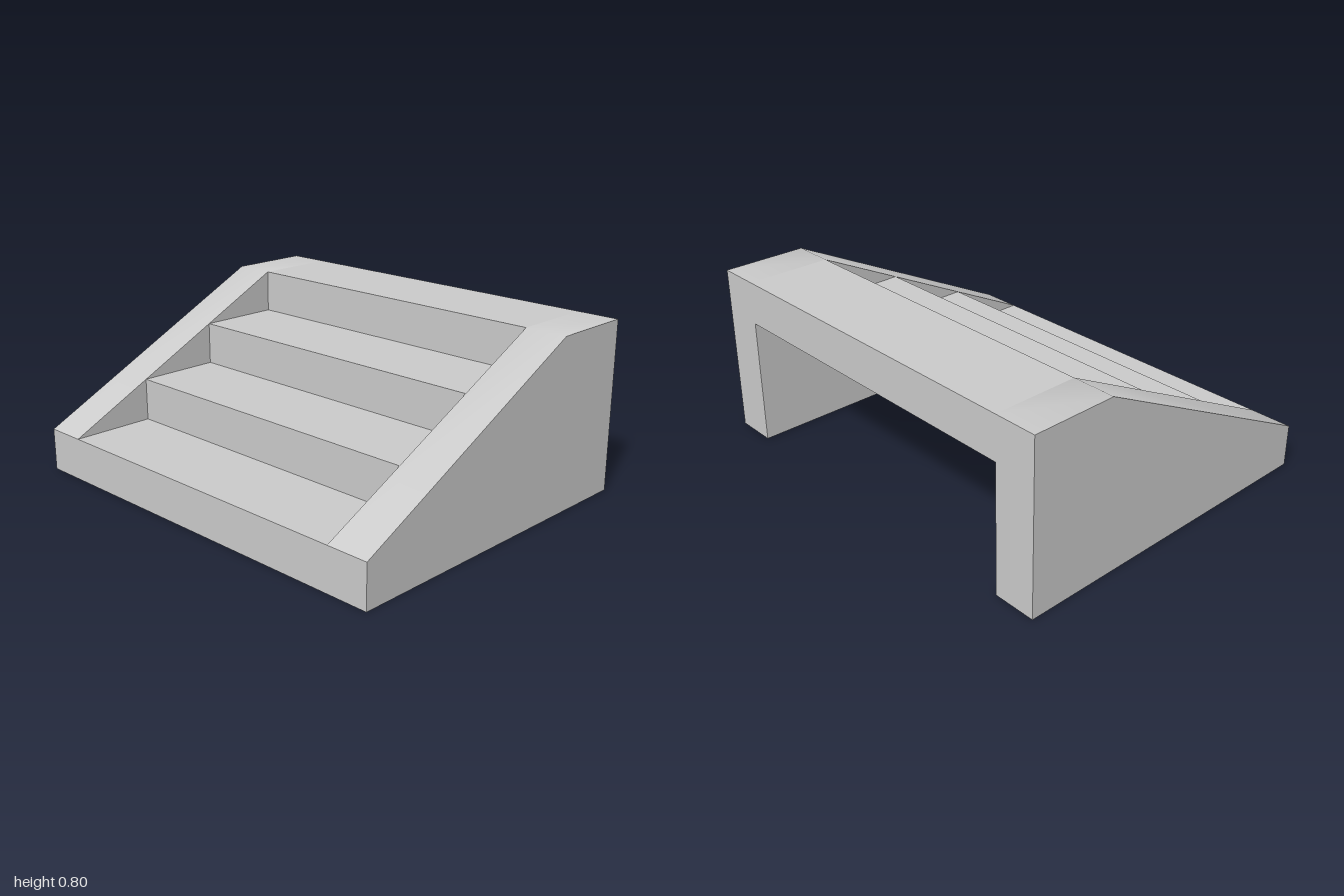
import * as THREE from 'three';
import { toCreasedNormals } from 'three/addons/utils/BufferGeometryUtils.js';

const material = new THREE.MeshStandardMaterial({ color: 0xcccccc, side: THREE.DoubleSide });

// Sweeps a [z, y] profile across x from x0 to x1; bends below the crease angle stay smooth
function sweep(profile, x0, x1, crease) {
  const pos = [], index = [];
  profile.forEach(([z, y], i) => {
    pos.push(x0, y, z, x1, y, z);
    if (i > 0) {
      const a = 2 * i - 2;
      index.push(a, a + 1, a + 3, a, a + 3, a + 2);
    }
  });
  const geo = new THREE.BufferGeometry();
  geo.setAttribute('position', new THREE.Float32BufferAttribute(pos, 3));
  geo.setIndex(index);
  return toCreasedNormals(geo, crease);
}

// Flat panel with a [z, y] outline, standing at x and facing +x (dir 1) or -x (dir -1)
function panel(outline, x, dir) {
  const shape = new THREE.Shape(outline.map(([z, y]) => new THREE.Vector2(-dir * z, y)));
  return new THREE.ShapeGeometry(shape).rotateY(dir * Math.PI / 2).translate(x, 0, 0);
}

function addMesh(parent, name, geometry) {
  const mesh = new THREE.Mesh(geometry, material);
  mesh.name = name;
  parent.add(mesh);
}

export function createModel() {
  const group = new THREE.Group();
  group.name = 'stairs';

  // Four steps, then the back edge and the sloping underside
  const steps = [[0.8, 0]];
  for (let i = 0; i < 4; i++) {
    const y = 0.2 * (i + 1), z = 0.8 - 0.4 * i;
    steps.push([z, y], [z - 0.4, y]);
  }
  steps.push([-0.8, 0.6], [0.4, 0], [0.8, 0]);
  addMesh(group, 'steps', sweep(steps, -0.8, 0.8, 0.1));

  // Side walls, hollow and open at the bottom
  const wall = [[0.8, 0], [0.8, 0.2], [-0.4, 0.8], [-0.8, 0.8], [-0.8, 0]];
  for (const side of [1, -1]) {
    const sideWall = new THREE.Group();
    sideWall.name = side > 0 ? 'leftWall' : 'rightWall';
    addMesh(sideWall, 'wallRim', sweep(wall, side > 0 ? 0.8 : -1, side > 0 ? 1 : -0.8, 0.6));
    addMesh(sideWall, 'outerPanel', panel(wall, side, side));
    addMesh(sideWall, 'innerPanel', panel(wall, 0.8 * side, -side));
    group.add(sideWall);
  }
  return group;
}
